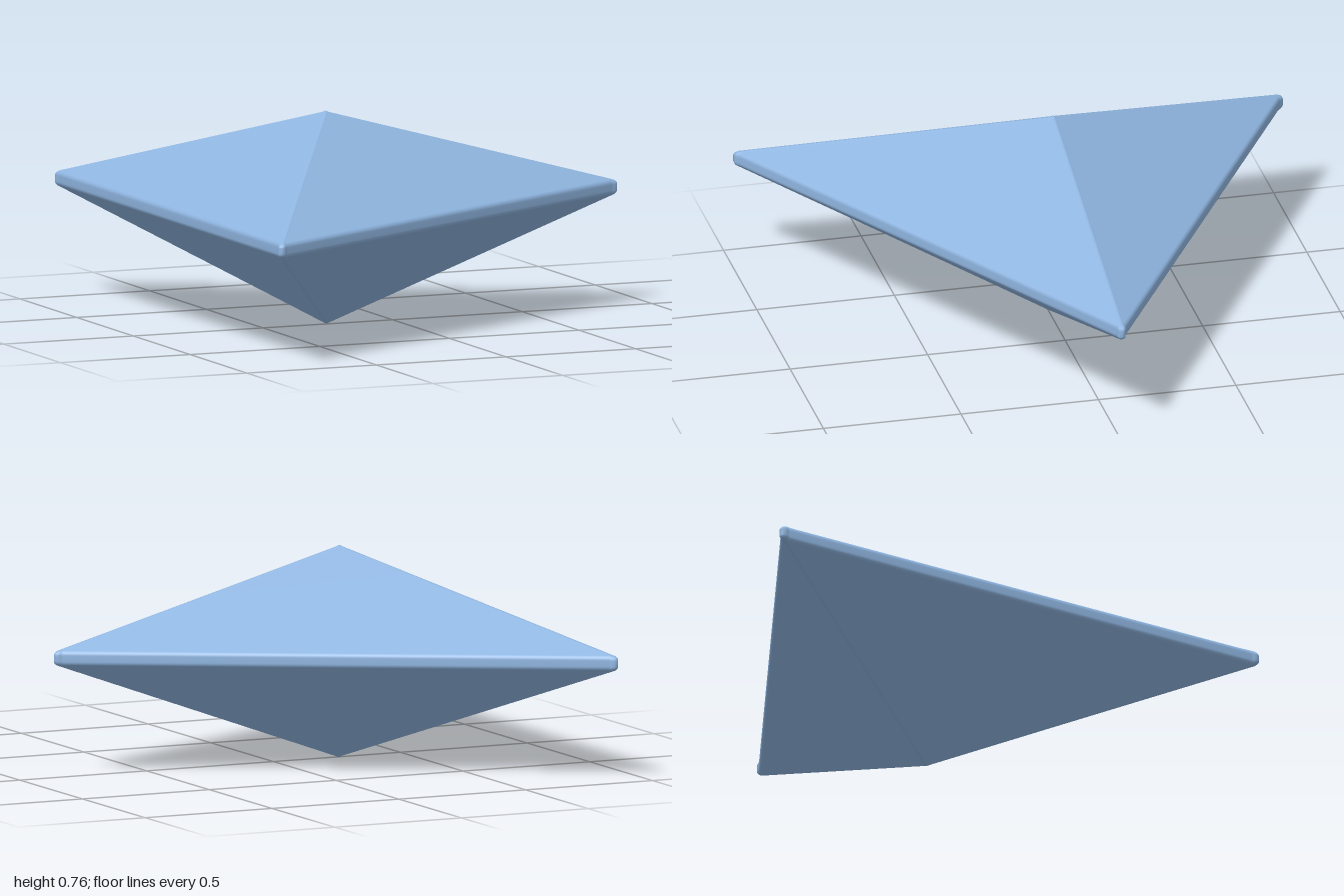
import * as THREE from 'three';

// Triangle outline (x, z) before its rounded corners are added
const CORNERS = [[-0.846, 0.965], [0.828, 0], [-0.846, -0.965]];
const STEPS = 6;           // segments per rounded corner
const EDGE = 0.02;         // rounding radius of the rim

// Horizontal section: corners shrunk toward the apex axis, then rounded by r
function section({ s, r, y, cz }) {
  const points = [];
  CORNERS.forEach(([x, z], i) => {
    // Each corner turns through 120 degrees between its two side normals
    const middle = [Math.PI * 2 / 3, 0, -Math.PI * 2 / 3][i];
    const cx = -0.252;
    for (let k = 0; k <= STEPS; k++) {
      const a = middle + (0.5 - k / STEPS) * Math.PI * 2 / 3;
      // Sharpen the tip slightly so that the corners stay pointed
      const tip = r * (1 + 0.9 * s * Math.pow(Math.cos((a - middle) * 1.5), 2));
      points.push([
        cx + (x - cx) * s + tip * Math.cos(a),
        y,
        cz + (z - cz) * s + tip * Math.sin(a),
      ]);
    }
  });
  return points;
}

function crystalGeometry() {
  const rings = [];
  // Bottom tip
  rings.push({ s: 0, r: 0.0001, y: 0, cz: -0.008 });
  rings.push({ s: 0, r: 0.006, y: 0.002, cz: -0.008 });
  rings.push({ s: 0, r: 0.011, y: 0.005, cz: -0.008 });
  // Rounded rim with a narrow upright band
  for (let i = 0; i <= 4; i++) {
    const a = (1 - i / 4) * 0.98;
    rings.push({ s: 1, r: EDGE * Math.cos(a), y: 0.415 - EDGE * Math.sin(a), cz: -0.008 });
  }
  for (let i = 0; i <= 4; i++) {
    const a = (i / 4) * 1.05;
    rings.push({ s: 1, r: EDGE * Math.cos(a), y: 0.436 + EDGE * Math.sin(a), cz: -0.016 });
  }
  // Top tip
  rings.push({ s: 0, r: 0.01, y: 0.755, cz: -0.016 });
  rings.push({ s: 0, r: 0.006, y: 0.758, cz: -0.016 });
  rings.push({ s: 0, r: 0.0001, y: 0.76, cz: -0.016 });

  const positions = rings.flatMap((ring) => section(ring).flat());
  const n = CORNERS.length * (STEPS + 1);
  const index = [];
  for (let j = 0; j < rings.length - 1; j++) {
    for (let i = 0; i < n; i++) {
      const a = j * n + i, b = j * n + (i + 1) % n;
      index.push(a, b, b + n, a, b + n, a + n);
    }
  }
  const geometry = new THREE.BufferGeometry();
  geometry.setAttribute('position', new THREE.Float32BufferAttribute(positions, 3));
  geometry.setIndex(index);
  geometry.computeVertexNormals();
  return geometry;
}

export function createModel() {
  const group = new THREE.Group();
  group.name = 'triangularCrystal';
  const body = new THREE.Mesh(
    crystalGeometry(),
    new THREE.MeshStandardMaterial({ color: 0x8fb5e0 }),
  );
  body.name = 'crystalBody';
  group.add(body);
  return group;
}
